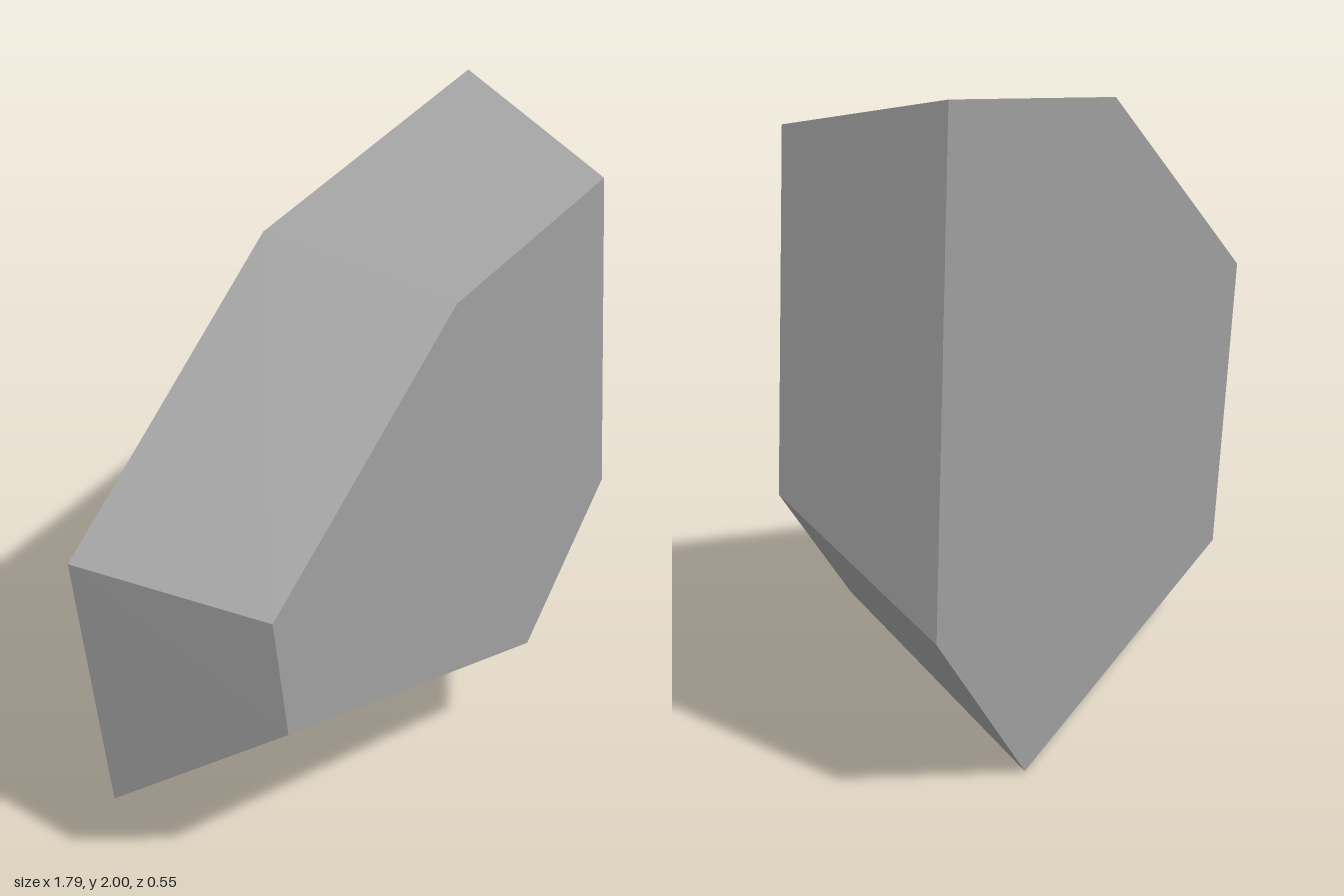
import * as THREE from 'three';

// Matching six-sided outlines, counter-clockwise seen from the front
const BACK = [[-0.77, 0.285], [0.42, 0], [0.895, 0.56], [0.815, 2], [-0.09, 1.82], [-0.9, 1.137]];
const FRONT = [[-0.645, 0.69], [0.437, 0.435], [0.787, 0.842], [0.73, 1.852], [0.067, 1.72], [-0.702, 1.077]];
const HALF_DEPTH = 0.277;

export function createModel() {
  const stone = new THREE.MeshStandardMaterial({ color: 0xa0a0a0 });
  stone.name = 'grey stone';
  stone.flatShading = true;

  const back = BACK.map(([x, y]) => [x, y, -HALF_DEPTH]);
  const front = FRONT.map(([x, y]) => [x, y, HALF_DEPTH]);
  const points = [];
  const triangle = (a, b, c) => points.push(...a, ...b, ...c);

  // Sloping sides between the two outlines
  back.forEach((b, i) => {
    const j = (i + 1) % back.length;
    triangle(b, back[j], front[j]);
    triangle(b, front[j], front[i]);
  });

  // Flat front and back faces
  for (let i = 1; i < back.length - 1; i++) {
    triangle(front[0], front[i], front[i + 1]);
    triangle(back[0], back[i + 1], back[i]);
  }

  const geometry = new THREE.BufferGeometry();
  geometry.setAttribute('position', new THREE.Float32BufferAttribute(points, 3));
  geometry.computeVertexNormals();

  const rock = new THREE.Mesh(geometry, stone);
  rock.name = 'rock';
  const group = new THREE.Group();
  group.name = 'facetedRock';
  group.add(rock);
  return group;
}
